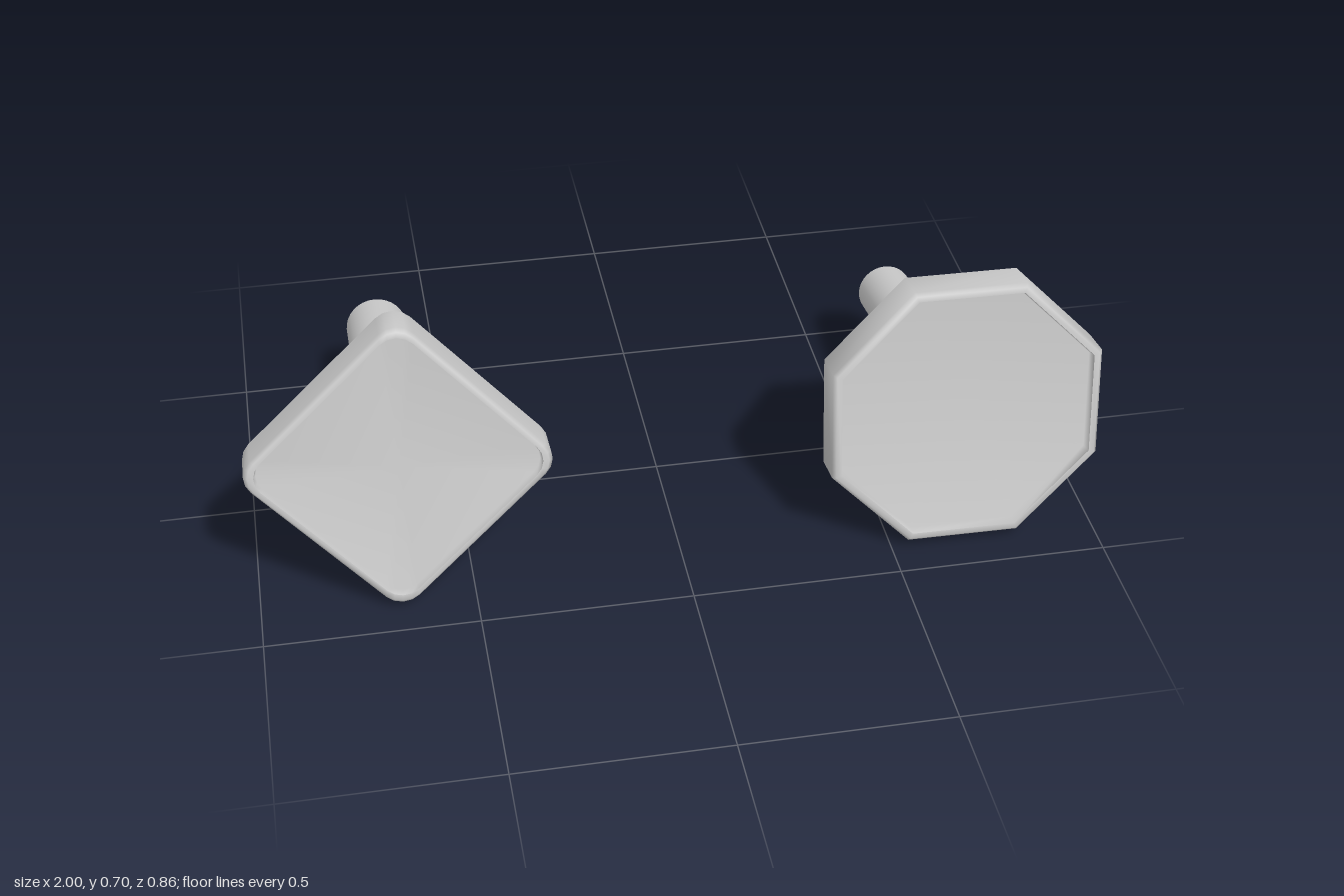
import * as THREE from 'three';

const TILT = -Math.PI / 18;
const material = new THREE.MeshStandardMaterial({ color: 0xcccccc, side: THREE.DoubleSide });

// Outline scaled and stacked along z by a [scale, z] profile, smooth shaded
function loft(outline, profile) {
  const pos = [], index = [], n = outline.length;
  for (const [s, z] of profile) for (const p of outline) pos.push(p.x * s, p.y * s, z);
  for (let i = 0; i < profile.length - 1; i++) {
    for (let k = 0; k < n; k++) {
      const a = i * n + k, b = i * n + (k + 1) % n;
      if (profile[i][0] > 0) index.push(a, b, b + n);
      if (profile[i + 1][0] > 0) index.push(a, b + n, a + n);
      else if (profile[i][0] > 0) continue;
    }
  }
  const geo = new THREE.BufferGeometry();
  geo.setAttribute('position', new THREE.Float32BufferAttribute(pos, 3));
  geo.setIndex(index);
  geo.computeVertexNormals();
  return geo;
}

// Regular polygon, with each corner rounded by `steps` segments
function polygon(sides, radius, corner, steps, turn) {
  const pts = [], half = Math.PI / sides;
  const core = radius - corner;
  for (let i = 0; i < sides; i++) {
    const a = turn + i * 2 * half;
    for (let j = 0; j <= steps; j++) {
      const t = steps ? a - half + (j / steps) * 2 * half : a;
      pts.push(new THREE.Vector2(
        core * Math.cos(a) + corner * Math.cos(t),
        core * Math.sin(a) + corner * Math.sin(t)));
    }
  }
  return pts;
}

function addMesh(parent, name, geo) {
  const mesh = new THREE.Mesh(geo, material);
  mesh.name = name;
  parent.add(mesh);
  return mesh;
}

// Thick plate with a shallow recess in its front and an optional inset hub behind
function makePlate(name, outline, depth, recess, hub) {
  const plate = new THREE.Group();
  plate.name = name;
  const h = depth / 2;
  addMesh(plate, 'shell', loft(outline, [[hub, -h], [0.985, -h], [1, -h + 0.008], [1, h - 0.01], [0.975, h], [0.935, h]]));
  addMesh(plate, 'frontRecess', loft(outline, [[0.935, h], [0.92, h - recess], [0, h - recess]]));
  if (hub) addMesh(plate, 'backHub', loft(outline, [[0, -h + 0.012], [hub - 0.02, -h + 0.01], [hub, -h]]));
  plate.rotation.x = TILT;
  return plate;
}

// Open tube lying along the tilted axis
function makeTube(name, radius, length) {
  const geo = new THREE.CylinderGeometry(radius, radius, length, 32, 1, true).rotateX(Math.PI / 2);
  const tube = new THREE.Mesh(geo, material);
  tube.name = name;
  tube.rotation.x = TILT;
  return tube;
}

export function createModel() {
  const model = new THREE.Group();
  model.name = 'platesAndTubes';

  // Diamond plate and its tube
  const diamond = makePlate('diamondPlate', polygon(4, 0.35, 0.055, 4, -0.05), 0.107, 0.018, 0);
  diamond.position.set(-0.655, 0.353, 0.315);
  const longTube = makeTube('longTube', 0.076, 0.394);
  longTube.position.set(-0.652, 0.259, -0.221);

  // Octagonal plate and its tube
  const octagon = makePlate('octagonPlate', polygon(8, 0.35, 0, 0, Math.PI / 8 - 0.01), 0.105, 0.025, 0.3);
  octagon.position.set(0.675, 0.335, 0.32);
  const shortTube = makeTube('shortTube', 0.069, 0.365);
  shortTube.position.set(0.674, 0.241, -0.19);

  model.add(diamond, longTube, octagon, shortTube);
  return model;
}
